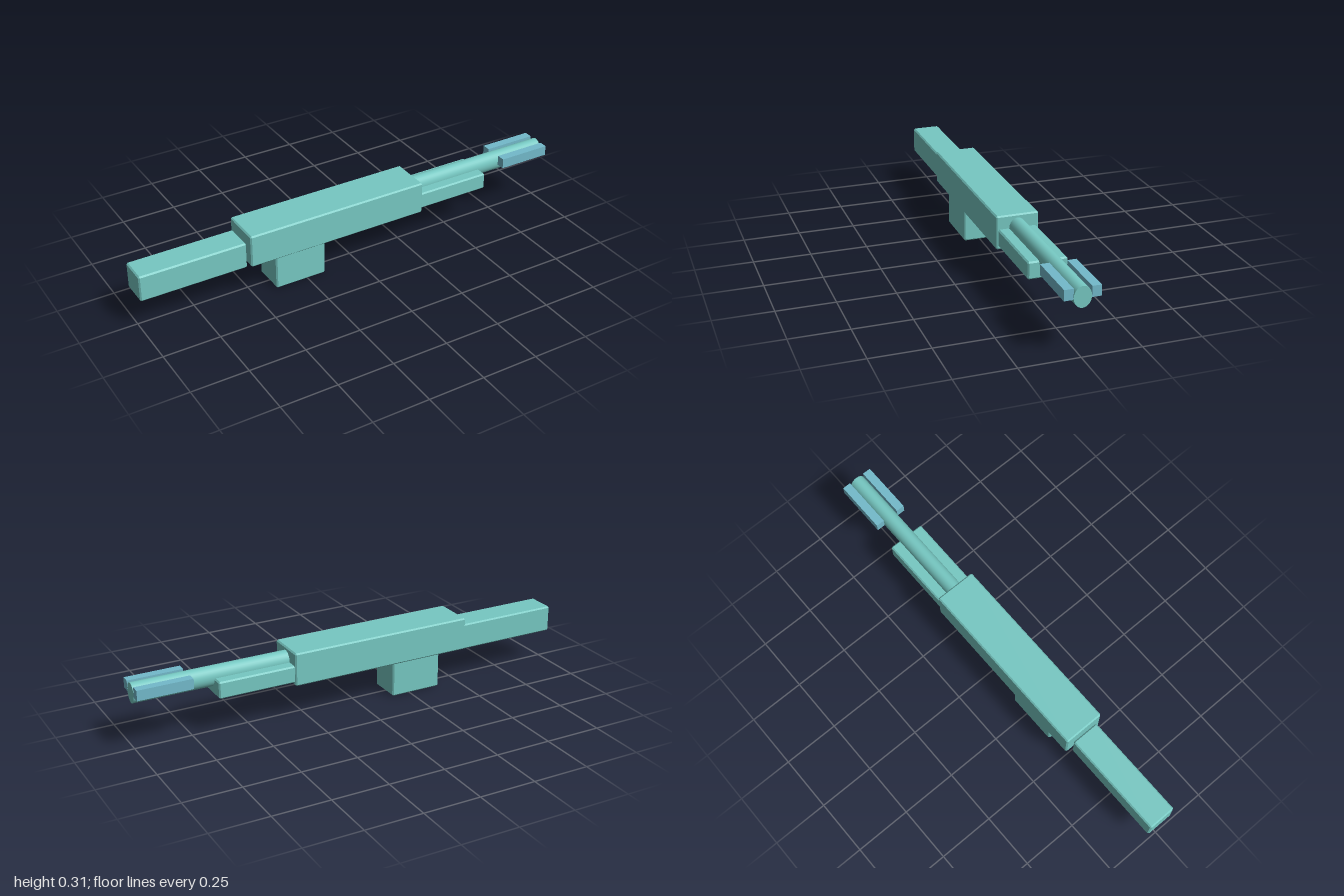
import * as THREE from 'three';
import { ConvexGeometry } from 'three/addons/geometries/ConvexGeometry.js';

const teal = new THREE.MeshStandardMaterial({ color: 0x76c8c2 });
teal.name = 'teal';
const blue = new THREE.MeshStandardMaterial({ color: 0x73bacb });
blue.name = 'steel blue';

// Box with chamfered edges: each corner becomes three points
function chamferBox(w, h, d, c) {
  const points = [];
  for (const sx of [-1, 1]) for (const sy of [-1, 1]) for (const sz of [-1, 1]) {
    const [x, y, z] = [w / 2, h / 2, d / 2];
    points.push(
      new THREE.Vector3(sx * x, sy * (y - c), sz * (z - c)),
      new THREE.Vector3(sx * (x - c), sy * y, sz * (z - c)),
      new THREE.Vector3(sx * (x - c), sy * (y - c), sz * z)
    );
  }
  return new ConvexGeometry(points);
}

export function createModel() {
  const group = new THREE.Group();
  const add = (name, geometry, material, x, y, z) => {
    const mesh = new THREE.Mesh(geometry, material);
    mesh.name = name;
    mesh.position.set(x, y, z);
    group.add(mesh);
    return mesh;
  };

  // Chamfered blocks, centred on z: [name, x0, x1, y0, y1, half depth]
  const blocks = [
    ['stock', -1, -0.526, 0.146, 0.264, 0.063],
    ['body', -0.52, 0.316, 0.16, 0.307, 0.092],
    ['grip', -0.398, -0.164, 0, 0.165, 0.073],
    ['handguard', 0.305, 0.656, 0.174, 0.249, 0.083],
  ];
  for (const [name, x0, x1, y0, y1, hz] of blocks) {
    add(name, chamferBox(x1 - x0, y1 - y0, hz * 2, 0.006), teal, (x0 + x1) / 2, (y0 + y1) / 2, 0);
  }

  // Barrel, slightly oval in section
  const barrel = new THREE.CylinderGeometry(1, 1, 0.7, 32);
  barrel.rotateZ(-Math.PI / 2);
  barrel.scale(1, 0.044, 0.0362);
  add('barrel', barrel, teal, 0.65, 0.248, 0);

  // Muzzle plates on both sides of the barrel tip
  for (const side of [-1, 1]) {
    add(side > 0 ? 'frontMuzzlePlate' : 'backMuzzlePlate',
      new THREE.BoxGeometry(0.24, 0.045, 0.038), blue, 0.88, 0.264, side * 0.0555);
  }
  return group;
}
